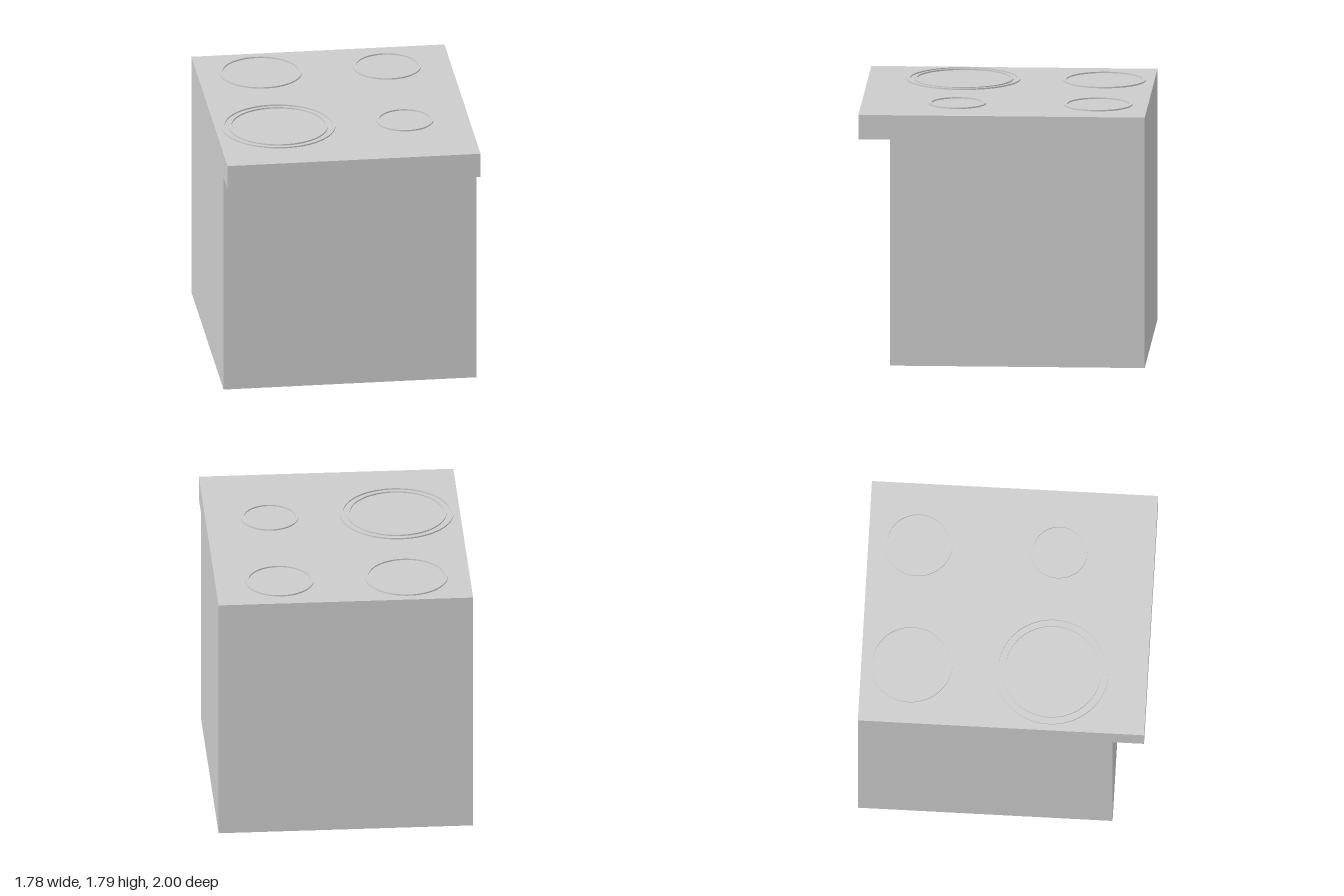
import * as THREE from 'three';

const WIDTH = 1.78, TOP = 1.78, RING_HEIGHT = 0.01;

export function createModel() {
  const group = new THREE.Group();
  const material = new THREE.MeshStandardMaterial({ color: 0xcccccc, flatShading: true });

  // Cabinet with overhanging front ledge: side profile (z, y) swept across the width
  const profile = new THREE.Shape([
    [-1, 0], [0.78, 0], [0.78, 1.606], [1, 1.606], [1, TOP], [-1, TOP],
  ].map(([z, y]) => new THREE.Vector2(z, y)));
  const bodyGeometry = new THREE.ExtrudeGeometry(profile, { depth: WIDTH, bevelEnabled: false });
  bodyGeometry.rotateY(-Math.PI / 2).translate(WIDTH / 2, 0, 0);
  const body = new THREE.Mesh(bodyGeometry, material);
  body.name = 'cabinet';
  group.add(body);

  // Raised flat ring lying on the cooktop
  function addRing(name, x, z, outer, inner) {
    const shape = new THREE.Shape().absarc(0, 0, outer, 0, Math.PI * 2, false);
    shape.holes.push(new THREE.Path().absarc(0, 0, inner, 0, Math.PI * 2, true));
    const geometry = new THREE.ExtrudeGeometry(shape, {
      depth: RING_HEIGHT, bevelEnabled: false, curveSegments: 32,
    });
    geometry.rotateX(-Math.PI / 2);
    const ring = new THREE.Mesh(geometry, material);
    ring.name = name;
    ring.position.set(x, TOP, z);
    group.add(ring);
  }

  // Four cooking zones; the large front one has two concentric rings
  addRing('backRightBurner', -0.447, -0.652, 0.289, 0.266);
  addRing('backLeftBurner', 0.441, -0.652, 0.239, 0.216);
  addRing('frontLeftBurner', 0.441, 0.332, 0.201, 0.179);
  addRing('frontRightBurnerOuter', -0.447, 0.332, 0.398, 0.376);
  addRing('frontRightBurnerInner', -0.447, 0.332, 0.347, 0.328);

  return group;
}
